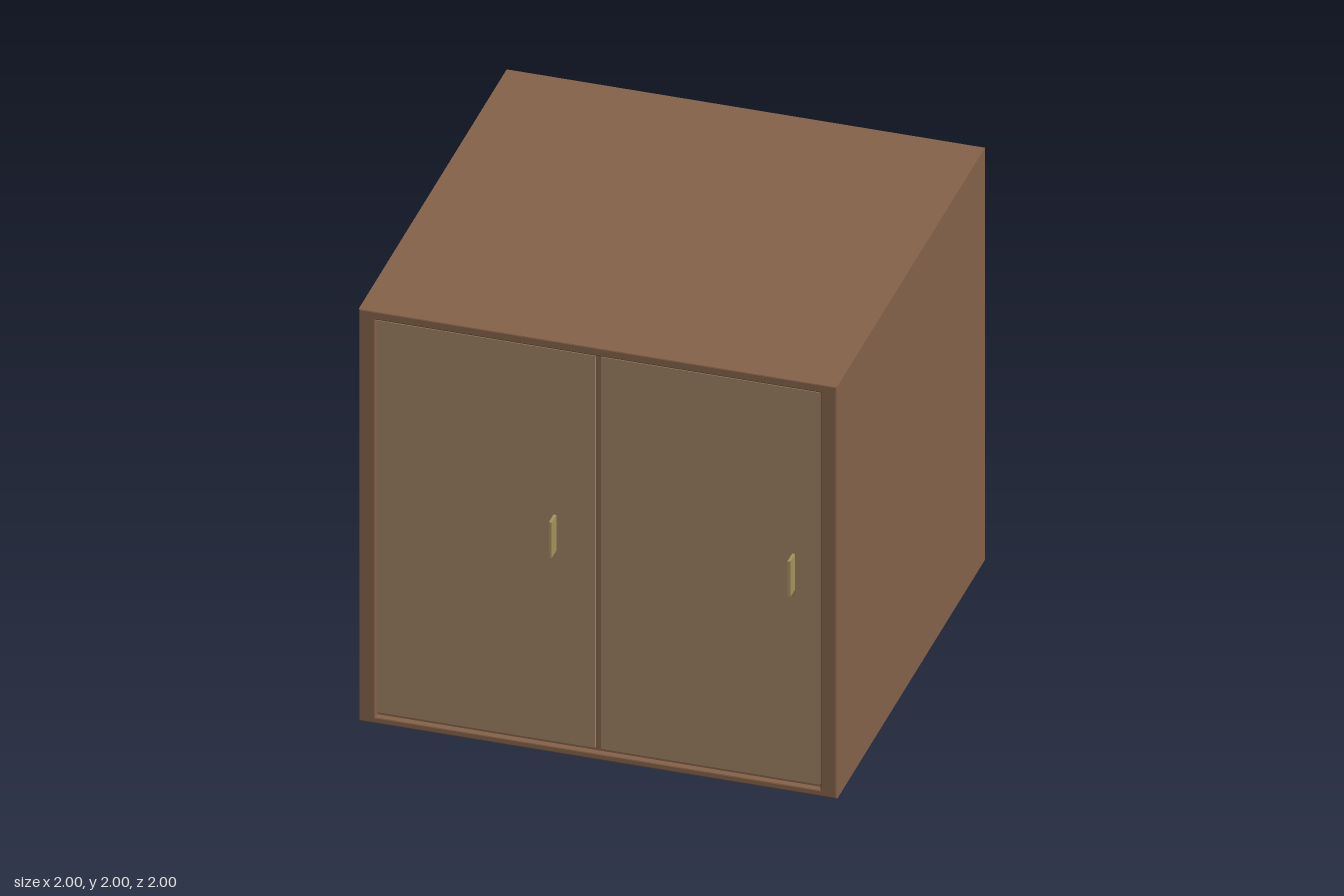
import * as THREE from 'three';

const wood = new THREE.MeshStandardMaterial({ color: 0x85624a });
const doorWood = new THREE.MeshStandardMaterial({ color: 0x9e8262 });
const brass = new THREE.MeshStandardMaterial({ color: 0xa8935f });

// Box given by its minimum and maximum corners
function box(name, material, [x0, y0, z0], [x1, y1, z1]) {
  const mesh = new THREE.Mesh(new THREE.BoxGeometry(x1 - x0, y1 - y0, z1 - z0), material);
  mesh.position.set((x0 + x1) / 2, (y0 + y1) / 2, (z0 + z1) / 2);
  mesh.name = name;
  return mesh;
}

function rectangle(path, x0, y0, x1, y1) {
  path.moveTo(x0, y0);
  path.lineTo(x1, y0);
  path.lineTo(x1, y1);
  path.lineTo(x0, y1);
  path.closePath();
  return path;
}

// Foot: a narrow block that tapers towards the floor
function footGeometry() {
  const geometry = new THREE.BoxGeometry(0.045, 0.09, 0.155);
  const p = geometry.attributes.position;
  for (let i = 0; i < p.count; i++) {
    if (p.getY(i) < 0) p.setXYZ(i, p.getX(i) * 0.72, p.getY(i), p.getZ(i) * 0.66);
  }
  geometry.computeVertexNormals();
  return geometry;
}

export function createModel() {
  const cabinet = new THREE.Group();
  cabinet.name = 'cabinet';

  // Carcass: top, bottom and sides as one softly bevelled frame
  const bevel = 0.006;
  const outline = rectangle(new THREE.Shape(), -1, 0.085, 1, 2);
  outline.holes.push(rectangle(new THREE.Path(), -0.93, 0.115, 0.93, 1.96));
  const carcass = new THREE.Mesh(new THREE.ExtrudeGeometry(outline, {
    depth: 1.95 - 2 * bevel, bevelEnabled: true, bevelThickness: bevel,
    bevelSize: bevel, bevelOffset: -bevel, bevelSegments: 2,
  }), wood);
  carcass.position.z = -1 + bevel;
  carcass.name = 'carcass';
  cabinet.add(carcass);

  // Back panel, centre divider and bottom rail behind the doors
  cabinet.add(box('backPanel', wood, [-0.94, 0.11, -1], [0.94, 1.97, -0.96]));
  cabinet.add(box('divider', wood, [-0.02, 0.115, -0.96], [0.015, 1.96, 0.925]));
  cabinet.add(box('bottomRail', wood, [-0.93, 0.115, 0.86], [0.93, 0.128, 0.925]));

  // Two doors, each with a thin upright pull near its right-hand edge
  for (const [x0, x1, pullX] of [[-0.93, -0.015, -0.183], [0.01, 0.925, 0.815]]) {
    const door = new THREE.Group();
    door.name = x0 < 0 ? 'rightDoor' : 'leftDoor';
    door.add(box('doorPanel', doorWood, [x0, 0.132, 0.9], [x1, 1.953, 0.938]));
    door.add(box('handle', brass, [pullX - 0.006, 1.02, 0.93], [pullX + 0.006, 1.185, 1]));
    cabinet.add(door);
  }

  // Four feet
  const foot = footGeometry();
  for (const x of [-0.802, 0.802]) {
    for (const z of [0.757, -0.805]) {
      const mesh = new THREE.Mesh(foot, wood);
      mesh.position.set(x, 0.045, z);
      mesh.name = 'foot';
      cabinet.add(mesh);
    }
  }
  return cabinet;
}
